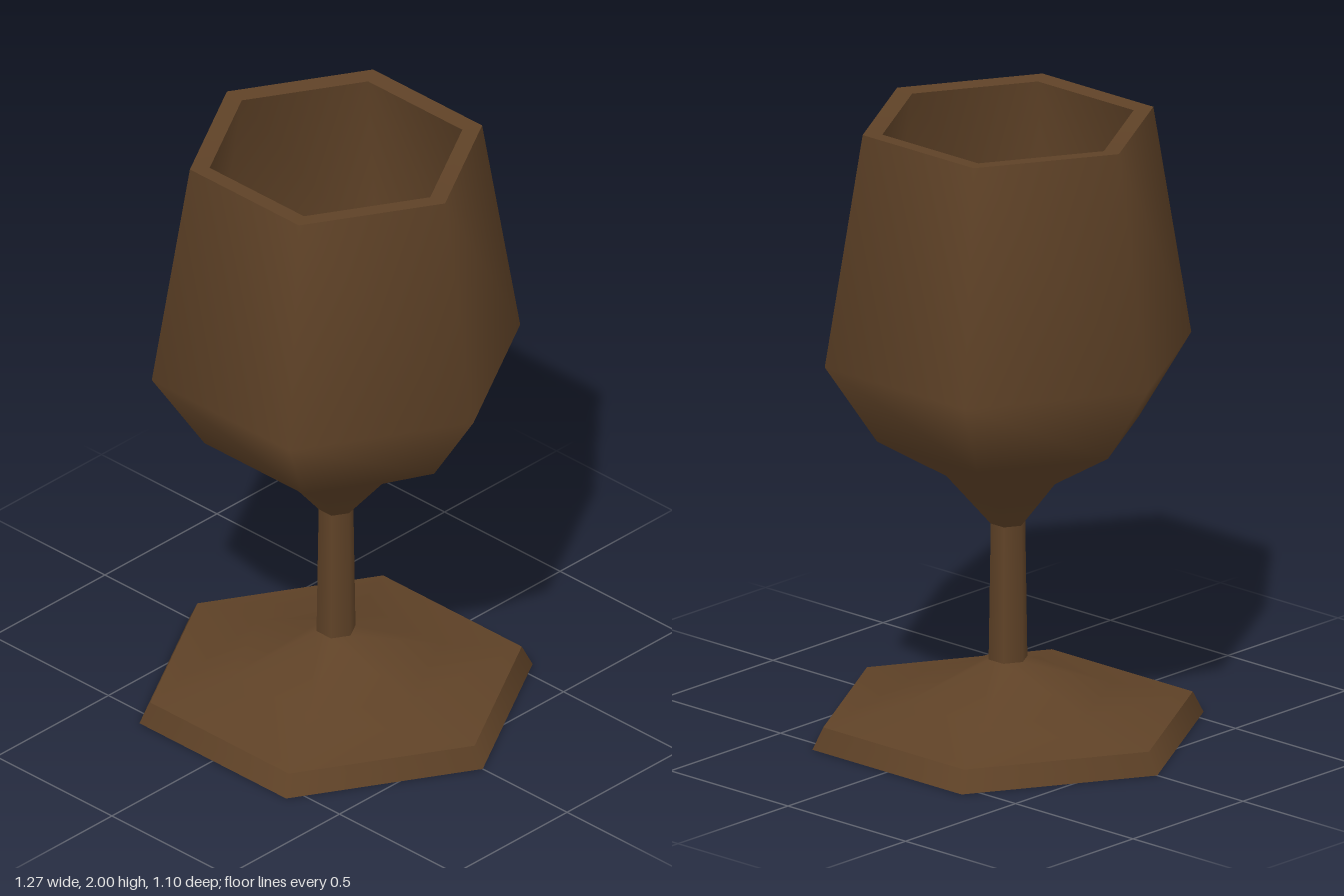
import * as THREE from 'three';

const SIDES = 6;

// Hexagonal ring surface from a [radius, height] profile, corners on the x axis
function hexLathe(name, profile, material) {
  const points = profile.map(([r, y]) => new THREE.Vector2(r, y));
  const mesh = new THREE.Mesh(new THREE.LatheGeometry(points, SIDES, Math.PI / 6), material);
  mesh.name = name;
  return mesh;
}

export function createModel() {
  const wood = new THREE.MeshStandardMaterial({ color: 0x5f4227, side: THREE.DoubleSide });
  wood.name = 'dark brown wood';

  const goblet = new THREE.Group();
  goblet.name = 'goblet';

  // Foot: bevelled edge and a sloping top, hollow underneath
  const foot = new THREE.Group();
  foot.name = 'foot';
  foot.add(
    hexLathe('footEdge', [[0.635, 0], [0.6, 0.07]], wood),
    hexLathe('footTop', [[0.6, 0.07], [0.335, 0.125], [0.062, 0.24]], wood),
  );

  // Stem flowing into the outside of the cup
  const stemCap = hexLathe('stemCap', [[0, 0.24], [0.063, 0.24]], wood);
  const stem = hexLathe('stem', [[0.063, 0.24], [0.056, 0.685]], wood);
  const cup = hexLathe('cupOutside',
    [[0.056, 0.685], [0.2, 0.855], [0.425, 0.99], [0.595, 1.25], [0.472, 2]], wood);

  // Flat rim and hollow inside
  const rim = hexLathe('rim', [[0.472, 2], [0.408, 1.995]], wood);
  const inside = hexLathe('cupInside',
    [[0.408, 1.995], [0.53, 1.25], [0.38, 1.04], [0.17, 0.92], [0, 0.89]], wood);

  goblet.add(foot, stemCap, stem, cup, rim, inside);
  return goblet;
}
